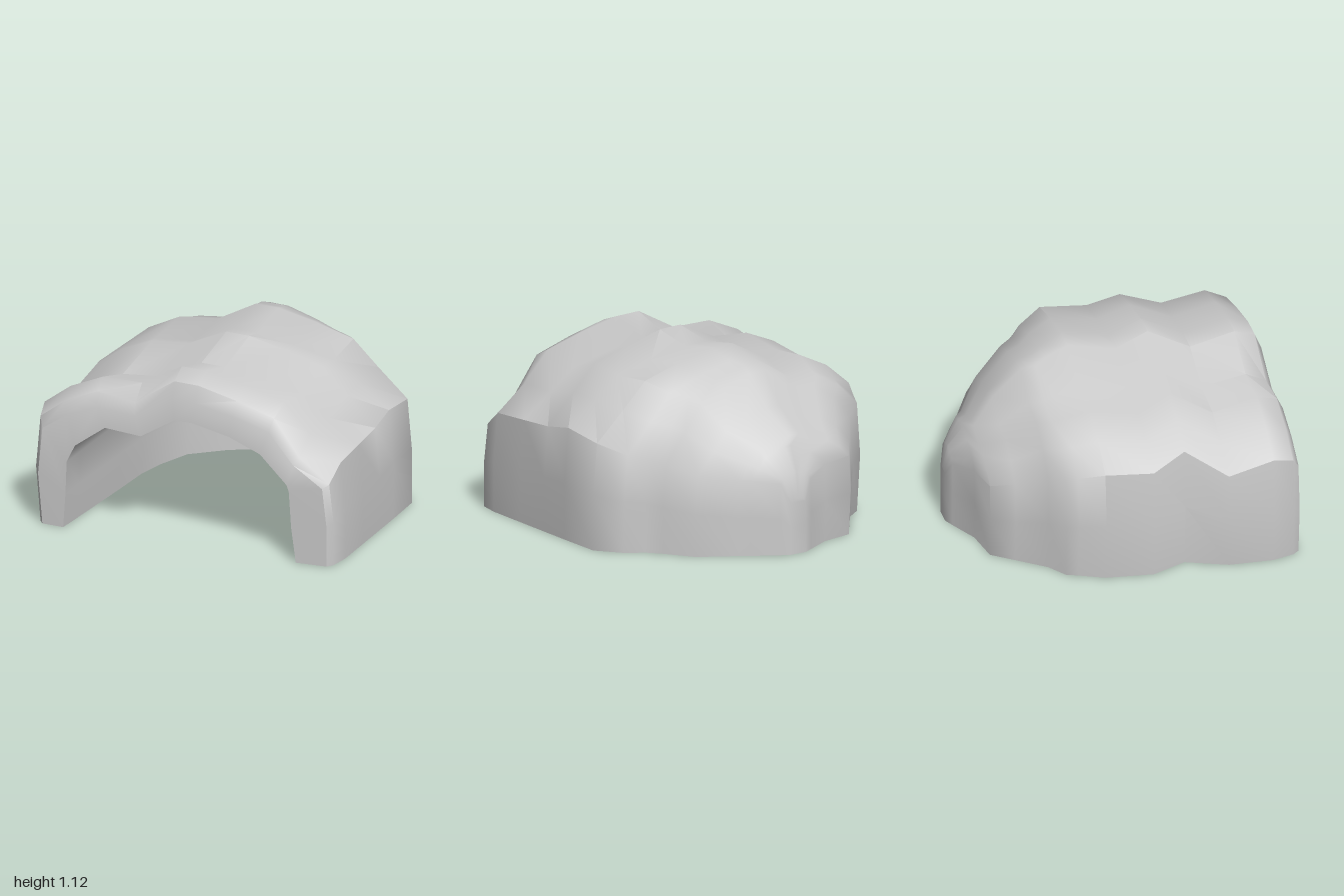
import * as THREE from 'three';
import { toCreasedNormals } from 'three/addons/utils/BufferGeometryUtils.js';

// Arch profiles: across position (-1..1) and rise above the wall (0..1).
// The first three and last three points form the upright side walls.
const OUTER = {
  u: [-0.97, -1, -0.97, -0.8, -0.59, -0.33, -0.07, 0.09, 0.35, 0.6, 0.77, 0.97, 1, 1],
  h: [0, 0, 0, 0.35, 0.6, 0.66, 1, 0.99, 0.87, 0.72, 0.38, 0, 0, 0],
};
const INNER = {
  u: [-1.01, -0.99, -0.98, -0.91, -0.65, -0.34, -0.05, 0.1, 0.42, 0.69, 0.92, 0.94, 0.96, 1],
  h: [0, 0, 0, 0.3, 0.69, 0.8, 1, 1, 0.86, 0.64, 0.34, 0.06, 0, 0],
};

// Stations: z, left edge x, right edge x, -x wall, +x wall, crown height, valley depth
const SHELL = [
  [-0.98, -0.04, 0.07, 0.32, 0.32, 0.35, 0],
  [-0.95, -0.1, 0.13, 0.44, 0.44, 0.5, 0],
  [-0.86, -0.27, 0.28, 0.48, 0.46, 0.64, 0],
  [-0.82, -0.48, 0.34, 0.49, 0.46, 0.69, 0],
  [-0.69, -0.58, 0.56, 0.54, 0.5, 0.84, 0],
  [-0.52, -0.71, 0.68, 0.63, 0.55, 1.02, 0],
  [-0.44, -0.82, 0.75, 0.67, 0.58, 1.05, 0],
  [-0.37, -0.85, 0.86, 0.69, 0.6, 1.07, 0],
  [-0.22, -0.92, 0.98, 0.73, 0.66, 1.12, 0],
  [0.07, -0.96, 0.985, 0.72, 0.69, 1.06, 0],
  [0.28, -0.88, 0.985, 0.79, 0.65, 1.12, 0],
  [0.53, -0.98, 0.985, 0.63, 0.63, 1.0, 0],
  [0.8, -1, 0.985, 0.71, 0.61, 1.07, 0.02],
  [0.93, -0.97, 0.965, 0.67, 0.51, 1.02, 0.05],
  [0.97, -0.94, 0.935, 0.61, 0.49, 0.92, 0.04],
];
const CAVITY = [
  [0.98, -0.765, 0.74, 0.42, 0.42, 0.79, 0.06],
  [0.8, -0.75, 0.71, 0.43, 0.43, 0.785, 0.04],
  [0.28, -0.71, 0.7, 0.45, 0.45, 0.78, 0],
  [-0.03, -0.69, 0.7, 0.45, 0.45, 0.77, 0],
  [-0.22, -0.65, 0.64, 0.45, 0.45, 0.76, 0],
  [-0.44, -0.57, 0.5, 0.44, 0.44, 0.72, 0],
  [-0.6, -0.38, 0.34, 0.42, 0.42, 0.62, 0],
  [-0.72, -0.16, 0.17, 0.39, 0.39, 0.49, 0],
  [-0.76, -0.05, 0.06, 0.34, 0.34, 0.4, 0],
];

// One arch of points running from the -x foot over the crown to the +x foot
function arch([z, xl, xr, wallL, wallR, top, valley], { u, h }) {
  const mid = (xl + xr) / 2, half = (xr - xl) / 2, last = u.length - 1;
  return u.map((a, i) => {
    const wall = i < 7 ? wallL : wallR;
    let y = wall + (top - wall) * h[i];
    if (i === 0 || i === last) y = 0;
    else if (i === 1 || i === last - 1) y = wall * 0.52;
    else if (i === 5 || i === 10) y -= valley;
    return new THREE.Vector3(mid + half * a, y, z);
  });
}

// Skin a list of arches into one surface and close its first and last arch
function loft(rows) {
  const n = rows[0].length, end = (rows.length - 1) * n, index = [];
  const quad = (a, b, d, e) => index.push(a, d, b, b, d, e);
  for (let r = 0; r < rows.length - 1; r++) {
    for (let c = 0; c < n - 1; c++) {
      const a = r * n + c;
      quad(a, a + 1, a + n, a + n + 1);
    }
  }
  for (let c = 0; c < n / 2 - 1; c++) {
    const m = n - 1 - c;
    quad(m, m - 1, c, c + 1);
    quad(end + c, end + c + 1, end + m, end + m - 1);
  }
  const geo = new THREE.BufferGeometry().setFromPoints(rows.flat());
  geo.setIndex(index);
  return toCreasedNormals(geo, 0.76);
}

export function createModel() {
  const group = new THREE.Group();
  group.name = 'rockCave';
  const material = new THREE.MeshStandardMaterial({ color: 0xcccccc });

  // Outer rock, front rim and hollow as one continuous skin
  const outer = SHELL.map((s) => arch(s, OUTER));
  const inner = CAVITY.map((s) => arch(s, INNER));
  const skin = new THREE.Mesh(loft([...outer, ...inner]), material);
  skin.name = 'rockShell';
  group.add(skin);

  // Flat underside following both footprints
  const foot = (rows, side) => rows.map((r) => {
    const p = r.at(side);
    return new THREE.Vector2(p.x, p.z);
  });
  const outline = [
    ...foot(outer, 0).reverse(), ...foot(outer, -1),
    ...foot(inner, -1), ...foot(inner, 0).reverse(),
  ];
  const base = new THREE.ShapeGeometry(new THREE.Shape(outline)).rotateX(Math.PI / 2);
  const underside = new THREE.Mesh(base, material);
  underside.name = 'underside';
  group.add(underside);

  return group;
}
